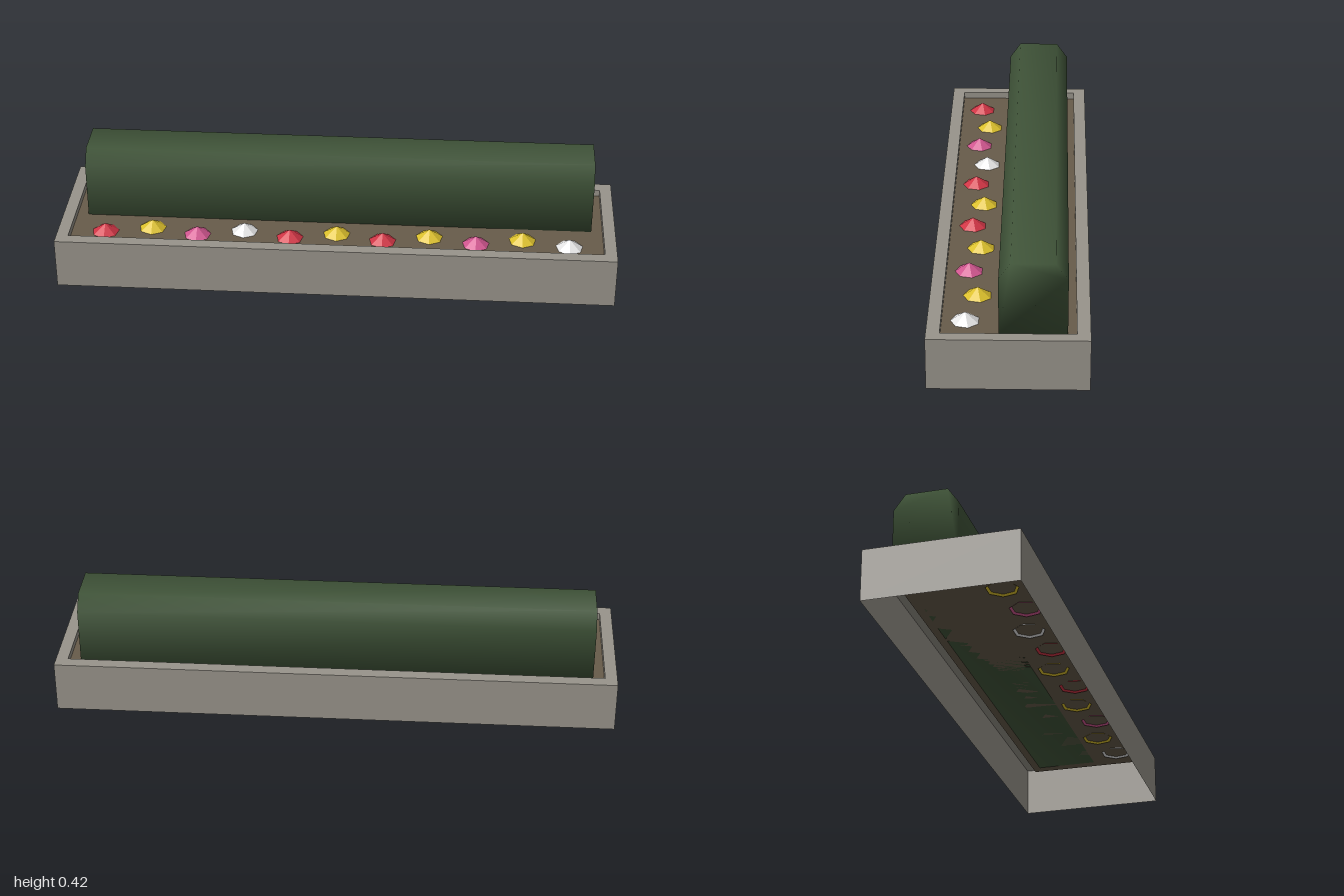
import * as THREE from 'three';
import { mergeVertices } from 'three/addons/utils/BufferGeometryUtils.js';

const mat = (name, color, extra = {}) =>
  new THREE.MeshStandardMaterial({ name, color, ...extra });

// Open rectangular band of four upright walls
function wallBand(width, depth, y0, y1) {
  const r = Math.SQRT1_2;
  const geo = new THREE.CylinderGeometry(r, r, y1 - y0, 4, 1, true)
    .rotateY(Math.PI / 4)
    .scale(width, 1, depth)
    .translate(0, (y0 + y1) / 2, 0)
    .toNonIndexed();
  geo.computeVertexNormals();
  return geo;
}

const rectPoints = (x, z) => [[-x, -z], [x, -z], [x, z], [-x, z]].map(([a, b]) => new THREE.Vector2(a, b));

export function createModel() {
  const model = new THREE.Group();
  const two = { side: THREE.DoubleSide };
  const stone = mat('stone', 0x98948b, two);
  const soilMat = mat('soil', 0x685c4a, two);
  const leaf = mat('leaf green', 0x3f5338);
  const petal = { ...two, flatShading: true };
  const red = mat('red petals', 0xd03545, petal);
  const yellow = mat('yellow petals', 0xdcc02c, petal);
  const pink = mat('pink petals', 0xd0568f, petal);
  const white = mat('white petals', 0xe6e6e6, petal);

  const add = (name, geo, material, parent = model) => {
    const mesh = new THREE.Mesh(geo, material);
    mesh.name = name;
    parent.add(mesh);
    return mesh;
  };

  // Planter: hollow below, with a flat rim and a short inner lip
  const X = 1, Z = 0.267, inX = 0.957, inZ = 0.222, top = 0.185, soilY = 0.16;
  const planter = new THREE.Group();
  planter.name = 'planter';
  model.add(planter);
  add('outerWalls', wallBand(2 * X, 2 * Z, 0, top), stone, planter);
  add('innerLip', wallBand(2 * inX, 2 * inZ, soilY, top), stone, planter);
  const rimShape = new THREE.Shape(rectPoints(X, Z));
  rimShape.holes.push(new THREE.Path(rectPoints(inX, inZ)));
  add('rim', new THREE.ShapeGeometry(rimShape).rotateX(-Math.PI / 2).translate(0, top, 0), stone, planter);

  // Soil sheet
  add('soil', new THREE.PlaneGeometry(2 * inX, 2 * inZ).rotateX(-Math.PI / 2).translate(0, soilY, 0), soilMat);

  // Hedge: bevelled profile (z, y) run along x, with shared smooth normals
  const profile = [[-0.193, soilY], [0.033, soilY], [0.033, 0.362], [-0.006, 0.418], [-0.152, 0.418], [-0.193, 0.362]];
  const hedgeShape = new THREE.Shape(profile.map(([z, y]) => new THREE.Vector2(-z, y)));
  const extruded = new THREE.ExtrudeGeometry(hedgeShape, { depth: 1.834, bevelEnabled: false })
    .translate(0, 0, -0.917)
    .rotateY(Math.PI / 2); // shape x -> -z, depth -> x
  extruded.deleteAttribute('normal');
  extruded.deleteAttribute('uv');
  const hedgeGeo = mergeVertices(extruded, 1e-4);
  hedgeGeo.computeVertexNormals();
  add('hedge', hedgeGeo, leaf);

  // Row of flowers, staggered front and back
  const flowers = new THREE.Group();
  flowers.name = 'flowers';
  model.add(flowers);
  const flowerGeo = new THREE.ConeGeometry(0.058, 0.039, 7, 1, true);
  [red, yellow, pink, white, red, yellow, red, yellow, pink, yellow, white].forEach((m, i) => {
    add('flower', flowerGeo, m, flowers)
      .position.set((i - 5) * 0.167, 0.1735, i % 2 ? 0.109 : 0.144);
  });

  return model;
}
